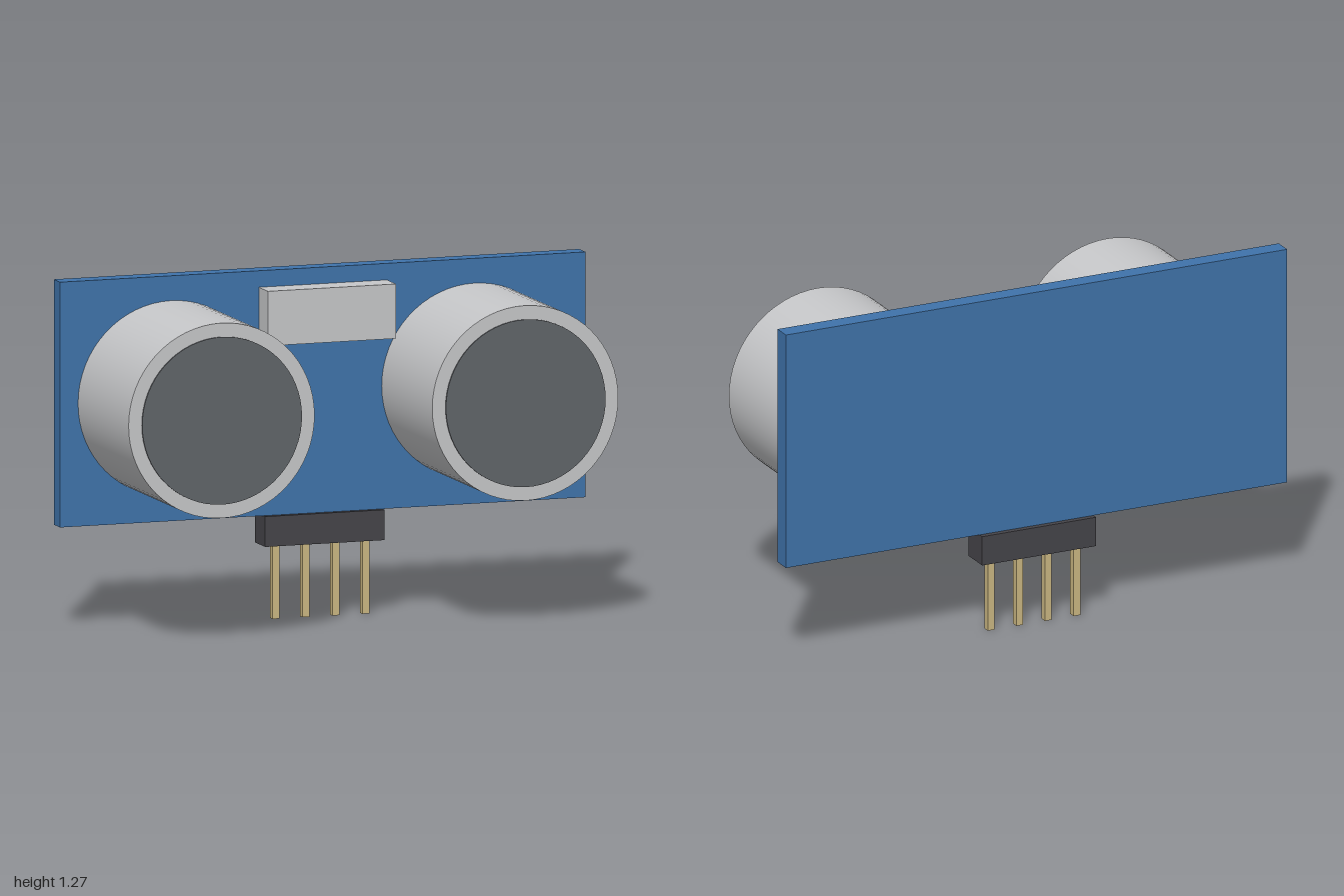
import * as THREE from 'three';

const material = (name, color) => {
  const m = new THREE.MeshStandardMaterial({ color });
  m.name = name;
  return m;
};

export function createModel() {
  const model = new THREE.Group();
  model.name = 'distanceSensor';

  const blue = material('boardBlue', 0x3f73aa);
  const silver = material('silver', 0xc6c7c9);
  const grey = material('meshGrey', 0x606468);
  const black = material('headerBlack', 0x454449);
  const gold = material('pinGold', 0xcbb782);

  const add = (name, geometry, mat, x, y, z) => {
    const mesh = new THREE.Mesh(geometry, mat);
    mesh.name = name;
    mesh.position.set(x, y, z);
    model.add(mesh);
  };

  // Box given by its lower and upper bounds on each axis
  const box = (name, mat, [x0, x1], [y0, y1], [z0, z1]) =>
    add(name, new THREE.BoxGeometry(x1 - x0, y1 - y0, z1 - z0), mat,
      (x0 + x1) / 2, (y0 + y1) / 2, (z0 + z1) / 2);

  // Cylinder lying along z
  const drum = (name, mat, radius, x, y, z0, z1) =>
    add(name, new THREE.CylinderGeometry(radius, radius, z1 - z0, 64).rotateX(Math.PI / 2),
      mat, x, y, (z0 + z1) / 2);

  // Circuit board and crystal can
  box('board', blue, [-1, 1], [0.38, 1.27], [-0.293, -0.225]);
  box('crystal', silver, [-0.244, 0.244], [1.012, 1.21], [-0.225, -0.128]);

  // Transducer cans with their dark front discs
  for (const [side, x] of [['left', 0.578], ['right', -0.578]]) {
    drum(side + 'Transducer', silver, 0.354, x, 0.826, -0.225, 0.309);
    drum(side + 'TransducerMesh', grey, 0.304, x, 0.826, 0.306, 0.315);
  }

  // Pin header below the board
  box('pinHeader', black, [-0.227, 0.227], [0.27, 0.38], [-0.314, -0.204]);
  for (let i = 0; i < 4; i++) {
    const x = (i - 1.5) * 0.114;
    box('pin' + (i + 1), gold, [x - 0.0135, x + 0.0135], [0, 0.27], [-0.2725, -0.2455]);
  }

  return model;
}
